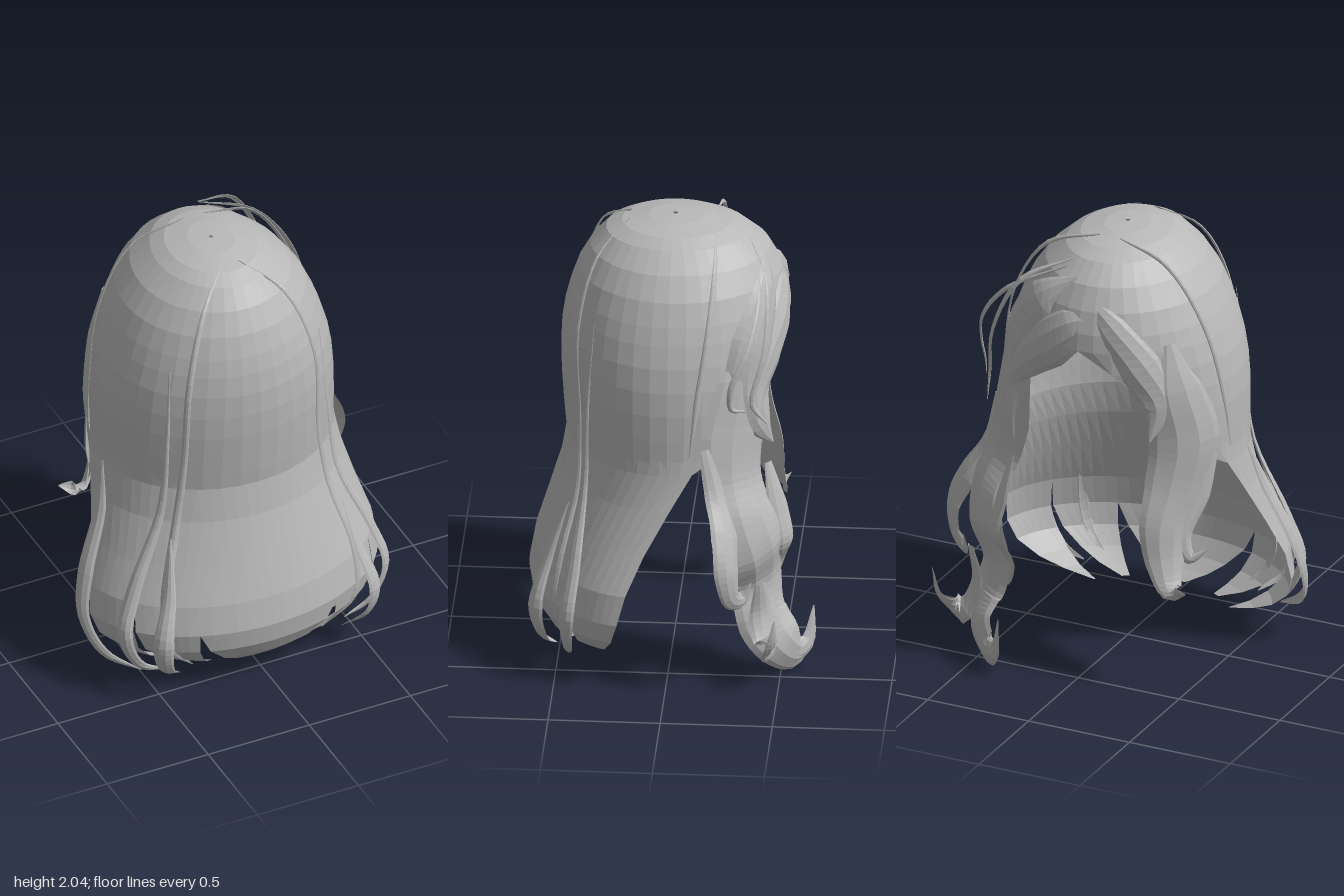
import * as THREE from 'three';

const hair = new THREE.MeshStandardMaterial({ color: 0xb8b8b8, side: THREE.DoubleSide, flatShading: true });
hair.name = 'grey hair';

const { lerp, clamp, degToRad } = THREE.MathUtils;

// Turns a grid of points (rows x columns) into a mesh
function gridMesh(name, rows) {
  const cols = rows[0].length, pos = [], idx = [];
  rows.forEach(r => r.forEach(p => pos.push(p.x, p.y, p.z)));
  for (let i = 0; i < rows.length - 1; i++) {
    for (let j = 0; j < cols - 1; j++) {
      const a = i * cols + j, b = a + cols;
      idx.push(a, b, a + 1, b, b + 1, a + 1);
    }
  }
  const g = new THREE.BufferGeometry();
  g.setAttribute('position', new THREE.Float32BufferAttribute(pos, 3));
  g.setIndex(idx);
  g.computeVertexNormals();
  const m = new THREE.Mesh(g, hair);
  m.name = name;
  return m;
}

// Point on a hair ring; angle is measured from the +z middle
function ringPoint(y, rx, rBack, rFront, cz, deg) {
  const a = degToRad(deg), c = Math.cos(a);
  return new THREE.Vector3(rx * Math.sin(a), y, cz + (c > 0 ? rBack : rFront) * c);
}

// Flat, slightly cupped lock along a path. Each point: [x, y, z, half width].
// facing is the [x, z] direction of its outer side; without it the lock faces away from the middle.
function lock(name, pts, { thick = 0.3, mirror = 1, facing } = {}) {
  const curve = new THREE.CatmullRomCurve3(pts.map(p => new THREE.Vector3(p[0] * mirror, p[1], p[2])));
  const n = (pts.length - 1) * 5, rows = [];
  for (let i = 0; i <= n; i++) {
    const t = i / n, f = t * (pts.length - 1), k = Math.min(Math.floor(f), pts.length - 2);
    const w = lerp(pts[k][3], pts[k + 1][3], f - k);
    const p = curve.getPoint(t), tan = curve.getTangent(t);
    const out = facing ? new THREE.Vector3(facing[0], 0, facing[1]) : new THREE.Vector3(p.x, 0, p.z);
    out.addScaledVector(tan, -out.dot(tan)).normalize();
    const side = new THREE.Vector3().crossVectors(tan, out).normalize();
    const row = [];
    for (let j = 0; j <= 10; j++) {
      const a = -j / 10 * Math.PI * 2, c = Math.cos(a);
      row.push(p.clone().addScaledVector(side, w * c).addScaledVector(out, w * (thick * Math.sin(a) - 0.3 * c * c)));
    }
    rows.push(row);
  }
  return gridMesh(name, rows);
}

export function createModel() {
  const model = new THREE.Group();
  model.name = 'longHair';

  // Crown: y, side radius, +z radius, -z radius, half arc in degrees
  const crown = [
    [1.995, 0.01, 0.01, 0.01, 180], [1.99, 0.1, 0.12, 0.13, 180], [1.965, 0.2, 0.24, 0.25, 180],
    [1.93, 0.26, 0.31, 0.33, 180], [1.85, 0.35, 0.38, 0.42, 180], [1.75, 0.42, 0.435, 0.475, 180],
    [1.65, 0.465, 0.47, 0.505, 180], [1.57, 0.495, 0.49, 0.515, 180], [1.47, 0.525, 0.505, 0.515, 162],
    [1.36, 0.545, 0.51, 0.51, 150], [1.25, 0.555, 0.508, 0.5, 142], [1.13, 0.558, 0.5, 0.48, 136],
    [1.03, 0.558, 0.492, 0.46, 120], [0.96, 0.56, 0.485, 0.45, 104],
  ];
  model.add(gridMesh('crown', crown.map(([y, rx, rb, rf, arc]) => {
    const row = [];
    for (let a = -180; a <= 180; a += 9) row.push(ringPoint(y, rx, rb, rf, 0, clamp(a, -arc, arc)));
    return row;
  })));

  // Long hair: y, side radius, depth radius, z centre, half arc, gap of inner / outer panels
  const mane = [
    [1.08, 0.553, 0.493, 0, 104, 0, 0], [0.96, 0.562, 0.483, 0, 103, 0, 0],
    [0.8, 0.59, 0.49, 0.02, 94, 0, 0], [0.6, 0.64, 0.49, 0.08, 88, 0, 0],
    [0.42, 0.695, 0.49, 0.135, 85, 0, 0], [0.28, 0.71, 0.495, 0.155, 84, 0, 0.07],
    [0.18, 0.68, 0.475, 0.16, 82, 0.1, 0.15], [0.1, 0.6, 0.43, 0.16, 78, 0.24, 0.3],
    [0.05, 0.51, 0.38, 0.16, 74, 0.4, 0.55], [0.01, 0.4, 0.33, 0.16, 68, 0.75, 0.95],
  ];
  const edges = [-1, -0.66, -0.34, 0.34, 0.66, 1];
  for (let k = 0; k < 5; k++) {
    const outer = k === 0 || k === 4, steps = k === 2 ? 12 : 6, mid = (edges[k] + edges[k + 1]) / 2;
    model.add(gridMesh('longPanel' + (k + 1), mane.map(([y, rx, rz, cz, arc, gapIn, gapOut]) => {
      const row = [], gap = outer ? gapOut : gapIn;
      for (let j = 0; j <= steps; j++) {
        const f = lerp(lerp(edges[k], edges[k + 1], j / steps), mid, gap);
        row.push(ringPoint(y, rx, rz, rz, cz, f * arc));
      }
      return row;
    })));
  }

  // Loose strands over the long hair, on both sides
  for (const mirror of [1, -1]) {
    model.add(
      lock('backStrand', [[0.04, 1.985, 0.2, 0.004], [0.2, 1.86, 0.34, 0.012], [0.31, 1.55, 0.42, 0.015],
        [0.335, 1.1, 0.41, 0.016], [0.38, 0.8, 0.42, 0.02], [0.47, 0.45, 0.5, 0.025], [0.46, 0.2, 0.52, 0.022], [0.32, 0.04, 0.47, 0.003]], { mirror }),
      lock('sideStrand', [[0.37, 1.6, 0.34, 0.003], [0.4, 1.2, 0.37, 0.012], [0.44, 0.85, 0.38, 0.02],
        [0.59, 0.5, 0.42, 0.035], [0.65, 0.28, 0.45, 0.04], [0.57, 0.1, 0.45, 0.03], [0.44, 0.04, 0.45, 0.003]], { mirror }),
      lock('cornerStrand', [[0.42, 0.75, 0.45, 0.004], [0.47, 0.5, 0.54, 0.03], [0.53, 0.28, 0.6, 0.05],
        [0.5, 0.13, 0.57, 0.04], [0.4, 0.04, 0.5, 0.003]], { mirror, thick: 0.2 }),
      lock('templeStrand', [[0.05, 1.99, -0.18, 0.003], [0.3, 1.91, -0.2, 0.012], [0.47, 1.65, -0.18, 0.014],
        [0.545, 1.3, -0.13, 0.014], [0.56, 1.05, -0.1, 0.003]], { mirror }));
  }
  model.add(lock('outerStrand', [[-0.57, 0.98, 0.06, 0.01], [-0.62, 0.78, 0.13, 0.04], [-0.73, 0.5, 0.2, 0.05],
    [-0.76, 0.3, 0.25, 0.04], [-0.7, 0.14, 0.34, 0.03], [-0.55, 0.05, 0.42, 0.003]], { thick: 0.2 }));

  // Fringe sweeping off the parting
  model.add(
    lock('rolledFringe', [[-0.08, 1.72, -0.46, 0.02], [0.04, 1.66, -0.49, 0.1], [0.17, 1.56, -0.49, 0.12],
      [0.3, 1.45, -0.45, 0.1], [0.4, 1.3, -0.4, 0.05], [0.44, 1.18, -0.4, 0.004]], { thick: 0.2 }),
    lock('leftFringe', [[0.05, 1.86, -0.4, 0.02], [0.22, 1.74, -0.44, 0.1], [0.36, 1.54, -0.4, 0.14],
      [0.41, 1.32, -0.37, 0.13], [0.39, 1.14, -0.42, 0.06], [0.34, 1.04, -0.46, 0.004]], { thick: 0.15 }),
    lock('rightFringe', [[0.0, 1.8, -0.43, 0.02], [-0.14, 1.68, -0.48, 0.08], [-0.28, 1.5, -0.45, 0.1],
      [-0.36, 1.32, -0.4, 0.08], [-0.32, 1.15, -0.43, 0.004]], { thick: 0.15 }),
    lock('looseFringeStrand', [[0.12, 1.9, -0.37, 0.003], [0.4, 1.75, -0.4, 0.012], [0.54, 1.58, -0.36, 0.015],
      [0.585, 1.42, -0.29, 0.016], [0.56, 1.3, -0.29, 0.012], [0.53, 1.28, -0.35, 0.003]]),
    lock('innerFringeStrand', [[0.1, 1.93, -0.34, 0.003], [0.32, 1.82, -0.43, 0.014], [0.46, 1.55, -0.43, 0.014],
      [0.5, 1.3, -0.38, 0.016], [0.48, 1.2, -0.44, 0.003]]));

  // Long wavy lock on the model's left: a wide sheet with curls at its edges
  const left = { thick: 0.12, facing: [0.7, -0.7] };
  model.add(
    lock('longWavyLock', [[0.37, 1.6, -0.34, 0.03], [0.41, 1.38, -0.35, 0.15], [0.46, 1.12, -0.32, 0.19],
      [0.5, 0.92, -0.32, 0.17], [0.55, 0.75, -0.37, 0.18], [0.54, 0.58, -0.42, 0.19], [0.48, 0.41, -0.42, 0.15],
      [0.51, 0.24, -0.45, 0.14], [0.5, 0.12, -0.52, 0.12], [0.42, 0.04, -0.58, 0.09], [0.34, 0.07, -0.62, 0.02]], left),
    lock('outerCurl', [[0.56, 1.1, -0.18, 0.04], [0.59, 0.88, -0.24, 0.07], [0.68, 0.72, -0.28, 0.08],
      [0.74, 0.57, -0.29, 0.07], [0.71, 0.43, -0.31, 0.05], [0.64, 0.4, -0.35, 0.035], [0.63, 0.48, -0.38, 0.004]], left),
    lock('innerCurl', [[0.36, 0.95, -0.44, 0.02], [0.4, 0.75, -0.49, 0.06], [0.42, 0.58, -0.52, 0.06],
      [0.36, 0.45, -0.48, 0.05], [0.4, 0.33, -0.44, 0.03], [0.46, 0.38, -0.42, 0.004]], left),
    lock('lowerCurl', [[0.58, 0.45, -0.42, 0.03], [0.55, 0.28, -0.43, 0.07], [0.61, 0.15, -0.46, 0.07],
      [0.7, 0.2, -0.48, 0.04], [0.73, 0.34, -0.49, 0.004]], left),
    lock('upturnedTip', [[0.5, 0.16, -0.52, 0.05], [0.44, 0.05, -0.57, 0.06], [0.37, 0.06, -0.62, 0.05], [0.33, 0.23, -0.64, 0.004]], left));

  // Shorter wavy lock on the model's right
  const right = { thick: 0.12, facing: [-0.7, -0.7] };
  model.add(
    lock('shortWavyLock', [[-0.37, 1.6, -0.34, 0.03], [-0.41, 1.38, -0.35, 0.14], [-0.45, 1.12, -0.31, 0.17],
      [-0.42, 0.9, -0.34, 0.15], [-0.39, 0.72, -0.4, 0.12], [-0.4, 0.56, -0.42, 0.09], [-0.44, 0.45, -0.45, 0.05], [-0.52, 0.46, -0.48, 0.004]], right),
    lock('shortCurl', [[-0.52, 1.05, -0.2, 0.03], [-0.49, 0.85, -0.26, 0.05], [-0.44, 0.66, -0.34, 0.045],
      [-0.47, 0.56, -0.32, 0.03], [-0.53, 0.6, -0.28, 0.004]], right));

  return model;
}
